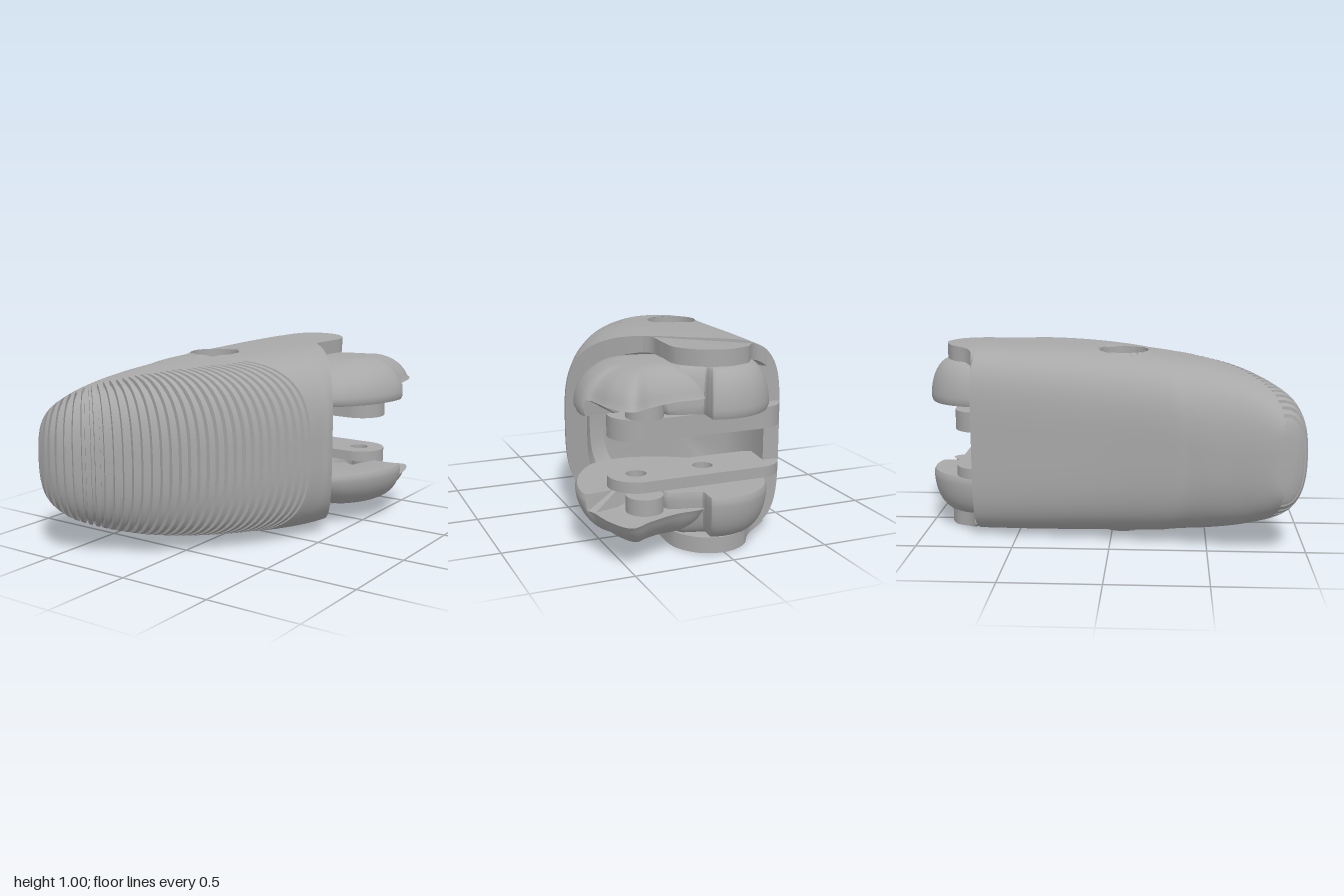
import * as THREE from 'three';
import { toCreasedNormals } from 'three/addons/utils/BufferGeometryUtils.js';

const MID = 0.5;                                   // mirror height of the model
const BORE = { x: -0.13, z: 0.06, r: 0.13, pin: 0.06, floor: 0.2, top: 0.979 };

// Body stations: left [x,z], right [x,z], half height
const STATIONS = [
  [[-0.64, 0.84], [-0.635, 0.87], 0.08],
  [[-0.64, 0.8], [-0.61, 0.93], 0.17],
  [[-0.625, 0.72], [-0.53, 0.985], 0.25],
  [[-0.6, 0.62], [-0.4, 0.985], 0.32],
  [[-0.585, 0.55], [-0.2, 0.88], 0.375],
  [[-0.57, 0.48], [0.02, 0.72], 0.415],
  [[-0.56, 0.44], [0.22, 0.5], 0.44],
  [[-0.55, 0.4], [0.38, 0.27], 0.455],
  [[-0.54, 0.34], [0.48, 0.06], 0.468],
  [[-0.47, 0], [0.51, -0.02], 0.488],
  [[-0.42, -0.38], [0.525, -0.05], 0.498],
  [[-0.38, -0.72], [0.53, -0.08], 0.5],
];
const LAST = STATIONS.length - 1, PAD_END = 8, RIDGES = 34, RING = 128;

// Squareness of the cross-section: the left side gets boxier towards the socket
const squareness = (t, isLeft) => 2.2 + 1.1 * t + (isLeft ? 1.2 * t ** 4 : 0);

// Joins equal-sized closed rings of points; keep() may drop faces
function loft(rings, crease, keep = () => true) {
  const pos = [], n = rings[0].length;
  const face = (a, b, c) => { if (keep(a, b, c)) for (const p of [a, b, c]) pos.push(p.x, p.y, p.z); };
  for (let i = 0; i < rings.length - 1; i++) {
    for (let j = 0; j < n; j++) {
      const k = (j + 1) % n, A = rings[i], B = rings[i + 1];
      face(A[j], B[j], A[k]);
      face(B[j], B[k], A[k]);
    }
  }
  const g = new THREE.BufferGeometry();
  g.setAttribute('position', new THREE.Float32BufferAttribute(pos, 3));
  return toCreasedNormals(g, crease);
}

const collapse = ring => {
  const c = new THREE.Vector3();
  ring.forEach(p => c.addScaledVector(p, 1 / ring.length));
  return ring.map(() => c.clone());
};

// Ridged fingertip shell with an open socket at the back
function bodyGeometry() {
  const curve = pts => new THREE.CatmullRomCurve3(pts);
  const left = curve(STATIONS.map(s => new THREE.Vector3(s[0][0], s[2], s[0][1])));
  const right = curve(STATIONS.map(s => new THREE.Vector3(s[1][0], s[2], s[1][1])));
  const pad = curve(STATIONS.slice(0, PAD_END + 1).map(s => new THREE.Vector3(s[1][0], 0, s[1][1])));

  const section = (t, groove = 0, sx = 1, sy = 1, dx = 0, dz = 0) => {
    const l = left.getPoint(t), r = right.getPoint(t);
    const h = (l.y + r.y) / 2, half = Math.hypot(r.x - l.x, r.z - l.z) / 2;
    const limit = -0.1 + 0.45 * t / (PAD_END / LAST);
    const bow = 0.15 * THREE.MathUtils.smoothstep(t, PAD_END / LAST, 1);
    return Array.from({ length: RING }, (_, j) => {
      const a = j / RING * Math.PI * 2, c = Math.cos(a), s = Math.sin(a), n = squareness(t, c < 0);
      const reach = (Math.abs(c) ** n + Math.abs(s) ** n) ** (-1 / n);
      let u = c * reach * sx, v = s * reach * sy;
      if (groove && u > limit) {
        u *= 1 - Math.min(0.2, groove / half);
        v *= 1 - Math.min(0.2, groove / h);
      }
      return new THREE.Vector3((l.x + r.x) / 2 + u * (r.x - l.x) / 2 + dx, MID + v * h,
        (l.z + r.z) / 2 + u * (r.z - l.z) / 2 - bow * (1 - u * u) + dz);
    });
  };

  const rings = [];
  for (let k = 0; k < RIDGES; k++) {
    for (const [phase, depth] of [[0, 0], [0.55, 0], [0.6, 0.02], [0.95, 0.02]]) {
      const t = pad.getUtoTmapping((k + phase) / RIDGES) * PAD_END / LAST;
      rings.push(section(t, depth));
    }
  }
  for (let i = 0; i <= 60; i++) rings.push(section((PAD_END + (LAST - PAD_END) * i / 60) / LAST));

  // Open a clean round hole on both broad faces
  for (const p of rings.flat()) {
    const dx = p.x - BORE.x, dz = p.z - BORE.z, d = Math.hypot(dx, dz);
    if (d < BORE.r && Math.abs(p.y - MID) > 0.3) {
      p.x = BORE.x + dx / d * BORE.r;
      p.z = BORE.z + dz / d * BORE.r;
      p.y = MID + Math.sign(p.y - MID) * (BORE.top - MID);
      p.inHole = true;
    }
  }
  // Rim, socket walls and socket floor
  rings.unshift(collapse(rings[0]));
  rings.push(section(1, 0, 0.82, 0.84));
  rings.push(section(1, 0, 0.76, 0.83, -0.05, 0.22));
  rings.push(section(1, 0, 0.6, 0.7, -0.06, 0.32));
  rings.push(collapse(rings[rings.length - 1]));
  return loft(rings, 0.6, (a, b, c) => !(a.inHole && b.inHole && c.inHole));
}

// Rounded dome over a plan outline; its underside steps up to stepY behind z = -0.69
function domeGeometry(outline, y0, y1, flat, stepY = y0) {
  const pts = new THREE.CatmullRomCurve3(outline.map(([x, z]) => new THREE.Vector3(x, 0, z)), true)
    .getPoints(96).slice(0, -1);
  const c = collapse(pts)[0];
  const ring = (s, y) => pts.map(p => {
    const z = c.z + (p.z - c.z) * s;
    return new THREE.Vector3(c.x + (p.x - c.x) * s, z < -0.69 ? Math.max(y, stepY) : y, z);
  });
  const rings = [];
  for (let i = 0; i <= 14; i++) {
    const a = i / 14 * Math.PI / 2;
    rings.push(ring(flat + (1 - flat) * Math.cos(a), y0 + 0.02 + (y1 - y0 - 0.02) * Math.sin(a)));
  }
  rings.unshift(collapse(ring(1, y0)), ring(0.5, y0), ring(0.97, y0));
  rings.push(collapse(rings[rings.length - 1]));
  return loft(rings, 0.7);
}

// Flat plate from a plan shape (shape y is -z)
function plateGeometry(shape, y0, y1) {
  const g = new THREE.ExtrudeGeometry(shape, { depth: y1 - y0, bevelEnabled: false, curveSegments: 24 });
  return g.rotateX(-Math.PI / 2).translate(0, y0, 0);
}

function barGeometry(y0, y1) {
  const z = 0.68, r = 0.14, x0 = -0.24, x1 = 0.37;
  const s = new THREE.Shape();
  s.absarc(x1, z, r, -Math.PI / 2, Math.PI / 2);
  s.absarc(x0, z, r, Math.PI / 2, Math.PI * 1.5);
  for (const x of [0.02, x1]) s.holes.push(new THREE.Path().absarc(x, z, 0.05, 0, Math.PI * 2, true));
  return toCreasedNormals(plateGeometry(s, y0, y1), 0.6);
}

// Hinge tab, bent down to follow the rounded rim of the body
function tabGeometry() {
  const s = new THREE.Shape();
  s.moveTo(0.1, 0.4);
  s.lineTo(0.33, 0.31);
  s.lineTo(0.24, 0.41);
  s.splineThru([[0.2, 0.48], [0.205, 0.6], [0.2, 0.75], [0.12, 0.86], [0, 0.9], [-0.12, 0.86],
    [-0.19, 0.77], [-0.24, 0.735], [-0.3, 0.725]].map(p => new THREE.Vector2(...p)));
  s.lineTo(-0.2, 0.6);
  const g = plateGeometry(s, 0.918, 0.998), p = g.attributes.position;
  for (let i = 0; i < p.count; i++) {
    const u = (p.getX(i) - 0.075) / 0.455, n = squareness(1, u < 0);
    p.setY(i, p.getY(i) - 0.5 * (1 - (1 - Math.abs(u) ** n) ** (1 / n)));
  }
  return toCreasedNormals(g, 0.6);
}

export function createModel() {
  const model = new THREE.Group();
  const grey = new THREE.MeshStandardMaterial({ color: 0xa8a8a8, side: THREE.DoubleSide });
  grey.name = 'plain grey';
  const add = (parent, name, geometry) => {
    const m = new THREE.Mesh(geometry, grey);
    m.name = name;
    parent.add(m);
    return m;
  };

  add(model, 'ridgedBody', bodyGeometry());

  // Pin hole right through the body
  const pinHeight = 2 * (MID - BORE.floor);
  add(model, 'pinHole', new THREE.CylinderGeometry(BORE.pin, BORE.pin, pinHeight, 40, 1, true))
    .position.set(BORE.x, MID, BORE.z);

  // Parts that repeat above and below the middle
  const lobe = [[0.61, -0.72], [0.64, -0.67], [0.62, -0.5], [0.55, -0.35], [0.43, -0.22], [0.2, -0.2],
    [-0.1, -0.35], [-0.2, -0.55], [-0.05, -0.75], [0.1, -0.88], [0.25, -0.895], [0.4, -0.945],
    [0.5, -0.995], [0.53, -0.98], [0.58, -0.87]];
  const disc = Array.from({ length: 32 }, (_, i) => {
    const a = i / 32 * Math.PI * 2, z = -0.71 + 0.285 * Math.sin(a);
    return [z < -0.85 ? Math.min(0.105, 0.285 * Math.cos(a)) : 0.285 * Math.cos(a), z];
  });
  for (const side of ['upper', 'lower']) {
    const half = new THREE.Group();
    half.name = side + 'Half';
    if (side === 'lower') { half.scale.y = -1; half.position.y = 2 * MID; }
    model.add(half);

    add(half, 'hingeTab', tabGeometry());
    add(half, 'hookedLobe', domeGeometry(lobe, 0.69, 0.919, 0.25, 0.77));
    add(half, 'hingeDisc', domeGeometry(disc, 0.69, 0.916, 0.6));
    add(half, 'boss', new THREE.CylinderGeometry(0.09, 0.09, 0.11, 32)).position.set(0.37, 0.745, -0.79);

    // Counterbore wall and its step
    const depth = BORE.top - (1 - BORE.floor);
    add(half, 'counterbore', new THREE.CylinderGeometry(BORE.r, BORE.r, depth, 48, 1, true))
      .position.set(BORE.x, BORE.top - depth / 2, BORE.z);
    add(half, 'counterboreStep', new THREE.RingGeometry(BORE.pin, BORE.r, 48).rotateX(-Math.PI / 2))
      .position.set(BORE.x, 1 - BORE.floor, BORE.z);
  }

  // Link bars between the lobes
  add(model, 'upperLinkBar', barGeometry(0.575, 0.68));
  add(model, 'lowerLinkBar', barGeometry(0.325, 0.38));
  return model;
}
